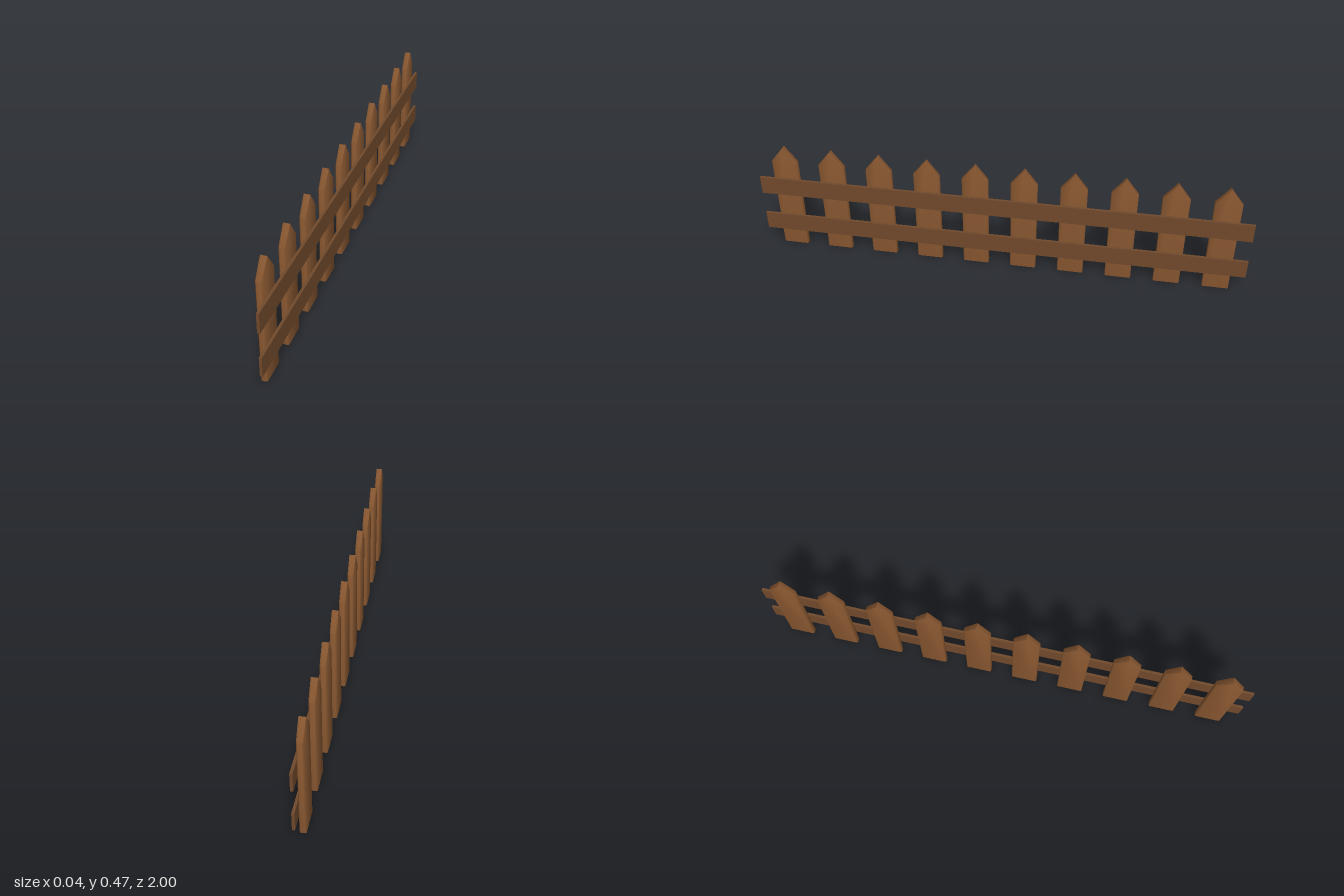
import * as THREE from 'three';
import { toCreasedNormals } from 'three/addons/utils/BufferGeometryUtils.js';

const HEIGHT = 0.473, SHOULDER = 0.407, HALF_WIDTH = 0.053;
const BACK = -0.0175, JOIN = 0.007, FRONT = 0.0175; // x of picket back, picket/rail contact, rail face
const CHAMFER = 0.004;

// Pointed board with eased long edges; foot and ridge stay square
function picketGeometry() {
  const shape = new THREE.Shape([
    new THREE.Vector2(-HALF_WIDTH, 0),
    new THREE.Vector2(HALF_WIDTH, 0),
    new THREE.Vector2(HALF_WIDTH, SHOULDER),
    new THREE.Vector2(0, HEIGHT),
    new THREE.Vector2(-HALF_WIDTH, SHOULDER),
  ]);
  const geo = new THREE.ExtrudeGeometry(shape, {
    depth: JOIN - BACK - 2 * CHAMFER,
    bevelThickness: CHAMFER,
    bevelSize: CHAMFER,
    bevelOffset: -CHAMFER,
    bevelSegments: 1,
  });
  const pos = geo.attributes.position;
  for (let i = 0; i < pos.count; i++) {
    const y = pos.getY(i);
    if (y < 0.01) pos.setY(i, 0);
    else if (y > HEIGHT - 0.01) pos.setY(i, HEIGHT);
  }
  geo.rotateY(Math.PI / 2);
  geo.translate(BACK + CHAMFER, 0, 0);
  return toCreasedNormals(geo, 0.9);
}

export function createModel() {
  const fence = new THREE.Group();
  fence.name = 'picketFence';
  const picketWood = new THREE.MeshStandardMaterial({ color: 0x85552f });
  const railWood = new THREE.MeshStandardMaterial({ color: 0x70492b });

  // Ten evenly spaced pickets
  const board = picketGeometry();
  for (let i = 0; i < 10; i++) {
    const picket = new THREE.Mesh(board, picketWood);
    picket.name = `picket${i + 1}`;
    picket.position.z = (4.5 - i) * 0.1975;
    fence.add(picket);
  }

  // Two long rails across one face of the pickets
  const railGeo = new THREE.BoxGeometry(FRONT - JOIN, 0.078, 2);
  for (const [name, y] of [['lowerRail', 0.113], ['upperRail', 0.291]]) {
    const rail = new THREE.Mesh(railGeo, railWood);
    rail.name = name;
    rail.position.set((JOIN + FRONT) / 2, y, 0);
    fence.add(rail);
  }
  return fence;
}
